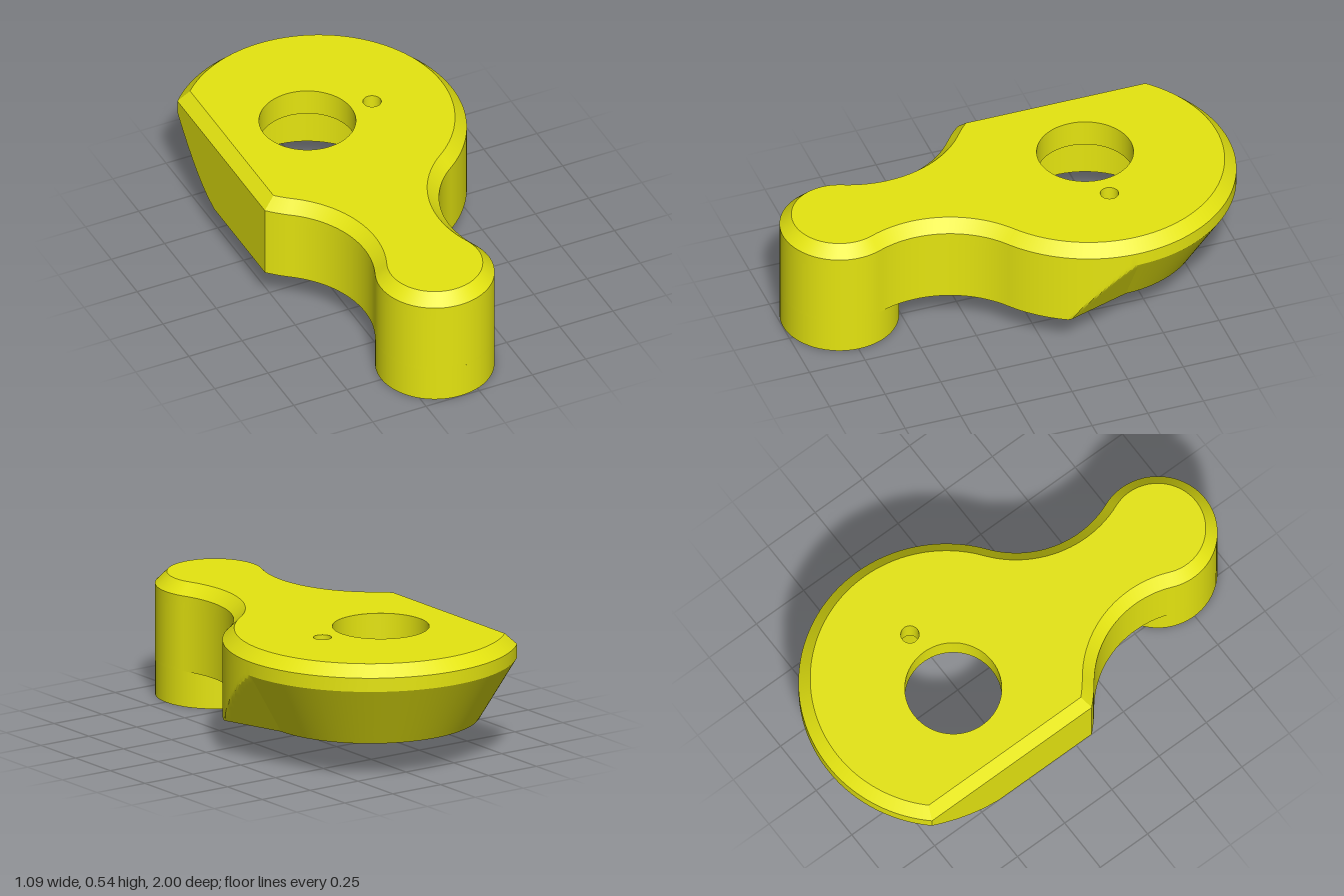
import * as THREE from 'three';
import { toCreasedNormals } from 'three/addons/utils/BufferGeometryUtils.js';

// Main sizes: big disc and small knob share the line x = CX
const CX = -0.085, ZB = -0.375, RB = 0.625, ZS = 0.745, RS = 0.253, RF = 0.44;
const FLAT = 0.46, BOTTOM = 0.155, CHAMFER = 0.485, TOP = 0.535, CONE_TOP = 0.425, LEDGE = 0.415;

// Centre of the concave fillet tangent to the disc and the knob
const d = ZS - ZB;
const fz = ((RB + RF) ** 2 - (RS + RF) ** 2 + d * d) / (2 * d);
const fx = Math.sqrt((RB + RF) ** 2 - fz * fz);
const alpha = Math.atan2(fz, fx), beta = Math.atan2(d - fz, -fx);

// Outline of the body at height y, as [x, z] points
function outline(y) {
  const inset = Math.max(0, y - CHAMFER), R = RB - inset, flat = FLAT - inset;
  const cone = Math.min(R, THREE.MathUtils.mapLinear(y, BOTTOM, CONE_TOP, 0.465, RB));
  const pts = [];
  const arc = (x, z, from, to, n, radius) => {
    for (let i = 0; i < n; i++) {
      const a = from + (to - from) * i / n;
      const r = typeof radius === 'function' ? radius(a) : radius;
      pts.push([CX + x + r * Math.cos(a), z + r * Math.sin(a)]);
    }
  };
  const corner = Math.acos(flat / R);
  // tapered back half, then the flared run-out of the taper
  arc(0, ZB, -Math.PI + Math.acos(flat / cone), 0, 64, cone);
  arc(0, ZB, 0, alpha, 44, a => Math.min(R, cone / (Math.cos(a) - 0.323 * Math.sin(a))));
  // neck, knob, neck
  arc(fx, ZB + fz, alpha + Math.PI, beta, 24, RF + inset);
  arc(0, ZS, beta - Math.PI, 2 * Math.PI - beta, 56, RS - inset);
  arc(-fx, ZB + fz, Math.PI - beta, -alpha, 24, RF + inset);
  // short arc up to the flat side
  arc(0, ZB, Math.PI - alpha, Math.PI - corner, 6, R);
  pts.push([CX - flat, ZB + R * Math.sin(corner)]);
  return pts;
}

// Side walls joining the outlines at rising heights
function wallGeometry() {
  const levels = [];
  for (let i = 0; i <= 14; i++) levels.push(BOTTOM + (CONE_TOP - BOTTOM) * i / 14);
  levels.push(CHAMFER, TOP);
  const pos = [], index = [];
  let n = 0;
  levels.forEach((y, k) => {
    const ring = outline(y);
    n = ring.length;
    ring.forEach(([x, z]) => pos.push(x, y, z));
    if (k === 0) return;
    for (let i = 0; i < n; i++) {
      const a = (k - 1) * n + i, b = (k - 1) * n + (i + 1) % n;
      index.push(a, a + n, b, b, a + n, b + n);
    }
  });
  const g = new THREE.BufferGeometry();
  g.setAttribute('position', new THREE.Float32BufferAttribute(pos, 3));
  g.setIndex(index);
  return toCreasedNormals(g, 0.25);
}

// Horizontal face with round holes; side = 1 faces down, -1 faces up
function faceGeometry(pts, y, side, holes) {
  const shape = new THREE.Shape(pts.map(([x, z]) => new THREE.Vector2(x, side * z)));
  holes.forEach(h => {
    const p = new THREE.Path();
    p.absarc(h.x, side * h.z, h.r, 0, Math.PI * 2, true);
    shape.holes.push(p);
  });
  return new THREE.ShapeGeometry(shape, 32).rotateX(side * Math.PI / 2).translate(0, y, 0);
}

export function createModel() {
  const group = new THREE.Group();
  const solid = new THREE.MeshStandardMaterial({ color: 0xe5e510 });
  const inner = new THREE.MeshStandardMaterial({ color: 0xe5e510, side: THREE.DoubleSide });
  const add = (name, geometry, material = solid) => {
    const mesh = new THREE.Mesh(geometry, material);
    mesh.name = name;
    group.add(mesh);
  };

  const hole = { x: -0.138, z: -0.378, r: 0.205 };
  const bore = { x: -0.138, z: -0.378, r: 0.352 };
  const pin = { x: 0.166, z: -0.378, r: 0.039 };

  // Body shell
  add('bodyWall', wallGeometry());
  add('topFace', faceGeometry(outline(TOP), TOP, -1, [hole, pin]));
  add('bottomFace', faceGeometry(outline(BOTTOM), BOTTOM, 1, [bore]));

  // Wide bore below, narrow hole and pin hole above, with the ledge between
  const tube = (h, y0, y1) =>
    new THREE.CylinderGeometry(h.r, h.r, y1 - y0, 64, 1, true).translate(h.x, (y0 + y1) / 2, h.z);
  add('boreWall', tube(bore, BOTTOM, LEDGE), inner);
  add('holeWall', tube(hole, LEDGE, TOP), inner);
  add('pinHoleWall', tube(pin, LEDGE, TOP), inner);
  const rim = [];
  for (let i = 0; i < 64; i++) {
    const a = i * Math.PI / 32;
    rim.push([bore.x + bore.r * Math.sin(a), bore.z + bore.r * Math.cos(a)]);
  }
  add('boreLedge', faceGeometry(rim, LEDGE, 1, [hole, pin]));

  // Round post under the knob
  add('post', new THREE.CylinderGeometry(RS, RS, BOTTOM, 64).translate(CX, BOTTOM / 2, ZS));
  return group;
}
